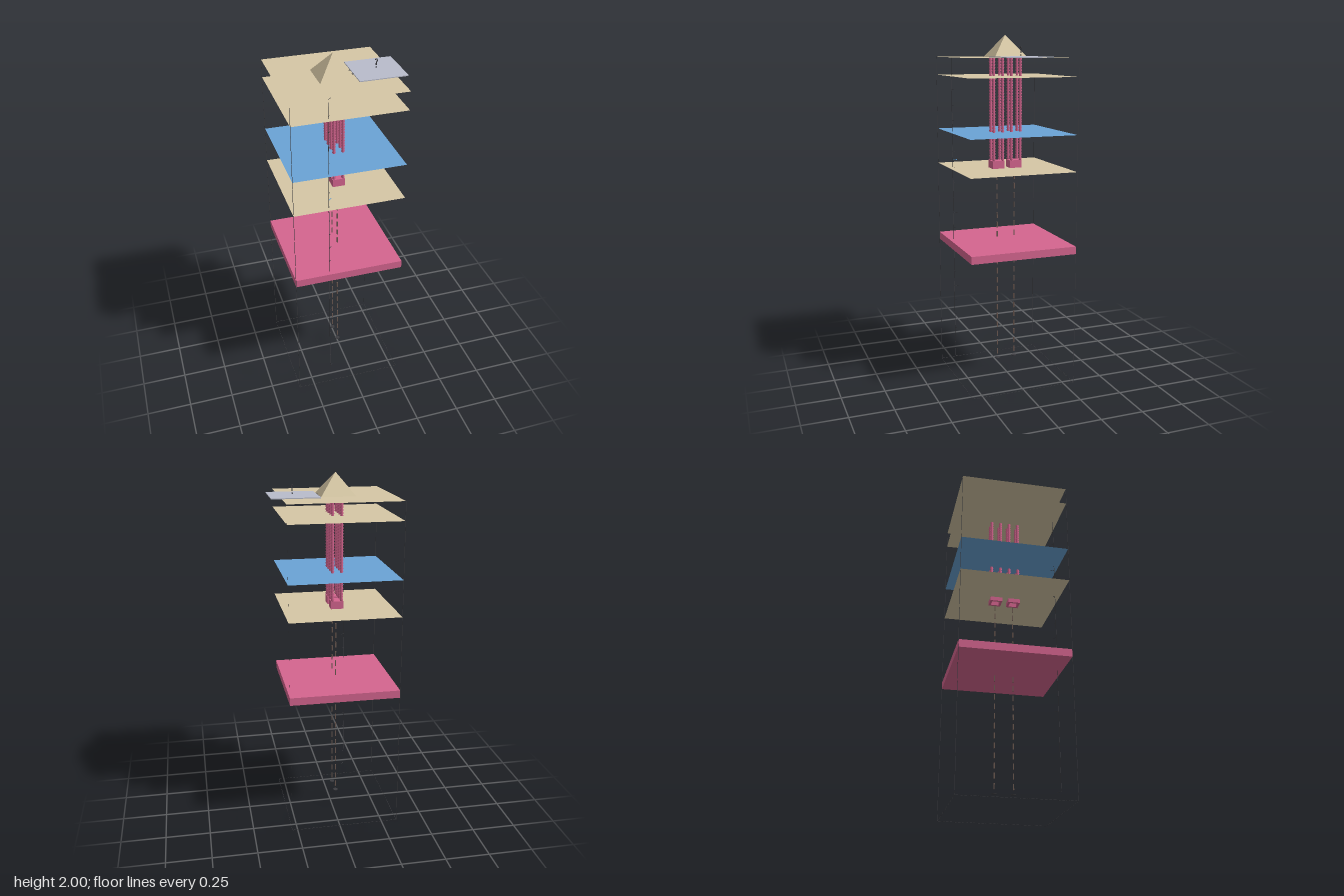
import * as THREE from 'three';

const mat = (name, color, side = THREE.FrontSide) => {
  const m = new THREE.MeshStandardMaterial({ color, side });
  m.name = name;
  return m;
};

export function createModel() {
  const model = new THREE.Group();
  model.name = 'layeredGroundSection';
  const sand = mat('sand', 0xd6c7a5, THREE.DoubleSide);
  const water = mat('water blue', 0x6aa3d6, THREE.DoubleSide);
  const pink = mat('pink', 0xd5658f, THREE.DoubleSide);
  const slate = mat('pale slate', 0xb9bccb);
  const dark = mat('dark line', 0x3c3c40, THREE.DoubleSide);
  const brown = mat('brown dash', 0x6a5850);
  sand.flatShading = false;

  const add = (name, geo, material, x = 0, y = 0, z = 0, parent = model) => {
    const mesh = new THREE.Mesh(geo, material);
    mesh.name = name;
    mesh.position.set(x, y, z);
    parent.add(mesh);
    return mesh;
  };
  const group = (name, parent = model) => {
    const g = new THREE.Group();
    g.name = name;
    parent.add(g);
    return g;
  };
  const box = (w, h, d) => new THREE.BoxGeometry(w, h, d);

  const W = 0.622, CX = -0.03, H = 1.878;
  const x0 = CX - W / 2, x1 = CX + W / 2, z0 = -W / 2, z1 = W / 2;

  // Ground layers: open sheets without thickness
  const sheet = new THREE.PlaneGeometry(W, W).rotateX(-Math.PI / 2);
  add('groundSurface', sheet, sand, CX, H, 0);
  add('upperLayer', sheet, sand, CX, 1.775, 0);
  add('waterLayer', sheet, water, CX, 1.46, 0);
  add('lowerLayer', sheet, sand, CX, 1.254, 0);
  add('deepSlab', box(W, 0.044, W), pink, CX, 0.805, 0);

  // Pyramid with a square base
  const pyramid = new THREE.ConeGeometry(0.192 / Math.SQRT2, 2 - H, 4, 1)
    .rotateY(Math.PI / 4).toNonIndexed();
  pyramid.computeVertexNormals();
  add('pyramid', pyramid, sand, CX, (H + 2) / 2 + 0.0005, 0);

  // Platform beside the pyramid, with its two links
  add('platform', box(0.265, 0.005, 0.266), slate, 0.2055, H + 0.0035, -0.001);
  for (const z of [-0.027, 0.025])
    add('platformLink', box(0.012, 0.004, 0.004), dark, 0.069, H + 0.002, z);

  // Small hooked marker standing on the platform
  const hook = new THREE.CatmullRomCurve3([
    [-0.007, 0.047], [0, 0.053], [0.006, 0.045], [0.001, 0.034], [0, 0.019],
  ].map(([x, y]) => new THREE.Vector3(x, y, 0)));
  const marker = group('marker');
  marker.position.set(0.207, H + 0.006, 0);
  add('markerHook', new THREE.TubeGeometry(hook, 16, 0.003, 6), dark, 0, 0, 0, marker);
  add('markerFoot', new THREE.SphereGeometry(0.004, 8, 6), dark, 0, 0.008, 0, marker);

  // Ribbed shafts: a saw-toothed profile turned round
  const bottom = 1.298, ribs = 36, step = (H - 0.001 - bottom) / ribs;
  const profile = [];
  for (let i = 0; i < ribs; i++) {
    profile.push(new THREE.Vector2(0.0065, i * step));
    profile.push(new THREE.Vector2(0.0105, (i + 0.5) * step));
  }
  profile.push(new THREE.Vector2(0.0065, ribs * step));
  const shaftGeo = new THREE.LatheGeometry(profile, 8);
  const shafts = group('shafts');
  for (const x of [-0.05, 0.001])
    for (const z of [-0.08, -0.026, 0.027, 0.08])
      add('shaft', shaftGeo, pink, x, bottom, z, shafts);

  // Two chambers under the shafts, open below
  const S = 0.07, T = 0.012, CH = 0.068;
  for (const z of [-0.051, 0.055]) {
    const chamber = group('chamber');
    chamber.position.set(-0.025, 1.23, z);
    add('chamberRoof', box(S, T, S), pink, 0, CH - T / 2, 0, chamber);
    for (const s of [-1, 1]) {
      add('chamberSideWall', box(T, CH - T, S), pink, s * (S - T) / 2, (CH - T) / 2, 0, chamber);
      add('chamberEndWall', box(S - 2 * T, CH - T, T), pink, 0, (CH - T) / 2, s * (S - T) / 2, chamber);
    }
  }

  // Dashed drop lines ending in small discs
  const dashGeo = box(0.006, 0.033, 0.006);
  const discGeo = new THREE.CylinderGeometry(0.014, 0.014, 0.003, 16);
  for (const z of [-0.053, 0.053]) {
    const line = group('dropLine');
    for (let y = 1.2; y > 0.1; y -= 0.056) add('dash', dashGeo, brown, -0.023, y, z, line);
    add('endDisc', discGeo, dark, -0.023, 0.095, z, line);
  }

  // Corner lines
  const t = 0.002;
  for (const z of [z0, z1]) add('cornerLine', box(t, H, t), dark, x0, H / 2, z);
  add('cornerLine', new THREE.PlaneGeometry(t, H).rotateY(Math.PI / 2), dark, x1, H / 2, z0);

  // Dashed outline of the base
  const base = group('baseOutline');
  const n = 28, pitch = W / n;
  for (let i = 0; i < n; i++) {
    const a = (i + 0.5) * pitch;
    for (const z of [z0, z1])
      add('outlineDash', box(pitch * 0.6, t, t), dark, x0 + a, t / 2, z, base);
    for (const x of [x0, x1])
      add('outlineDash', box(t, t, pitch * 0.6), dark, x, t / 2, z0 + a, base);
  }

  // Depth scale turned diagonally, with long and short ticks
  const scale = group('depthScale');
  scale.position.set(-0.14, 0, 0.282);
  scale.rotation.y = Math.PI / 4;
  const low = 0.095, span = H - low;
  add('scalePost', box(t, span, t), dark, 0, low + span / 2, 0, scale);
  for (let i = 0; i <= 20; i++) {
    const len = i % 5 === 0 ? 0.026 : 0.011;
    add('scaleTick', box(len, t, t), dark, len / 2, H - (span * i) / 20, 0, scale);
  }
  add('waterTick', box(0.026, 0.003, t), water, 0.013, 1.3, 0, scale);

  return model;
}
